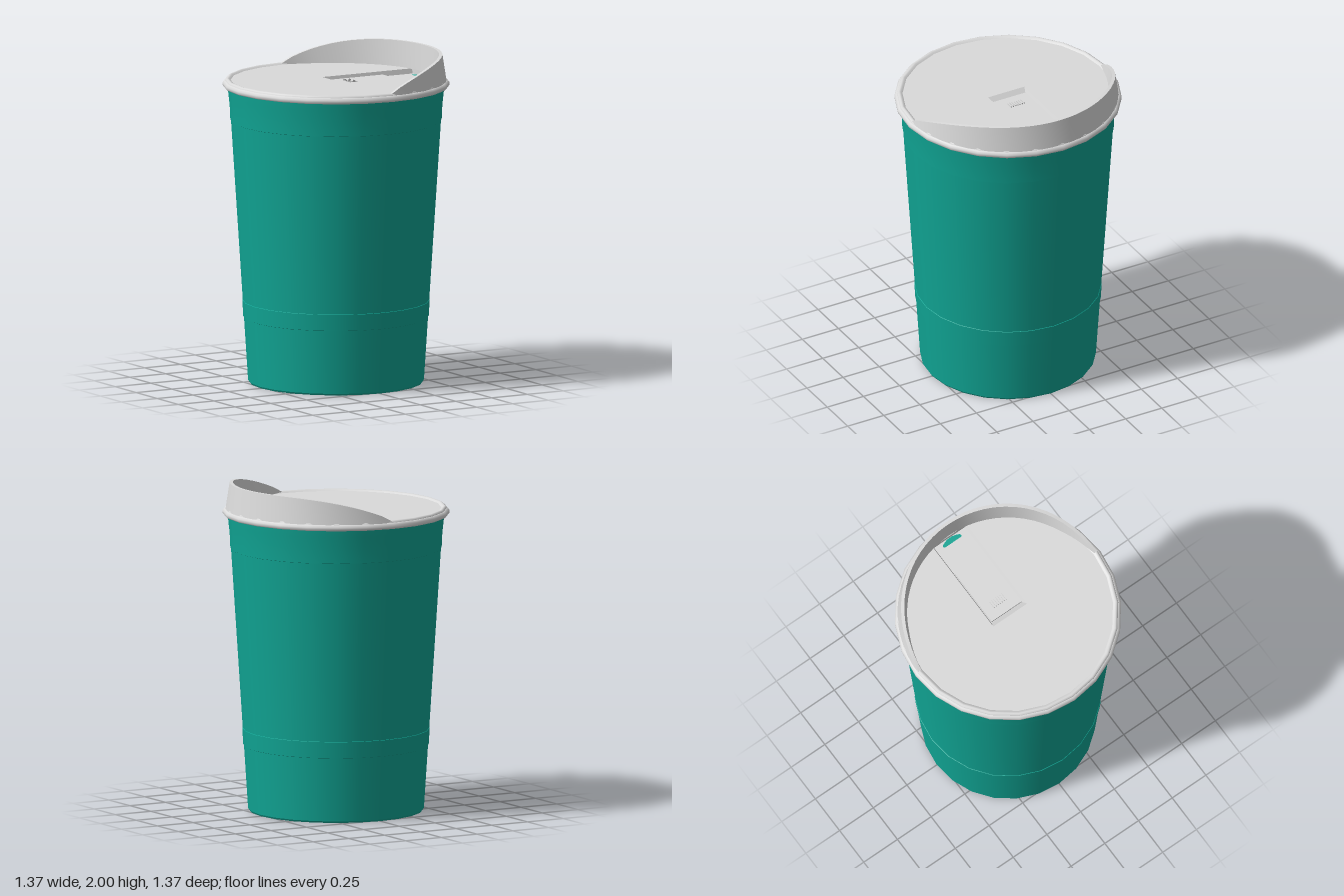
import * as THREE from 'three';
import { mergeGeometries } from 'three/addons/utils/BufferGeometryUtils.js';

const SIDES = 24;

// Smooth ring section; separate sections keep the edges between them crisp
const ring = (pts) => new THREE.LatheGeometry(pts.map(([r, y]) => new THREE.Vector2(r, y)), SIDES);

// Smooth strip between two rows of points
function strip(a, b) {
  const pos = [], idx = [];
  a.forEach((p, i) => {
    pos.push(...p, ...b[i]);
    if (i) {
      const k = 2 * i;
      idx.push(k - 2, k - 1, k, k, k - 1, k + 1);
    }
  });
  const g = new THREE.BufferGeometry();
  g.setAttribute('position', new THREE.Float32BufferAttribute(pos, 3));
  g.setIndex(idx);
  g.computeVertexNormals();
  return g;
}

export function createModel() {
  const model = new THREE.Group();
  const teal = new THREE.MeshStandardMaterial({ color: 0x10a594 });
  const lidGrey = new THREE.MeshStandardMaterial({ color: 0xdadada, side: THREE.DoubleSide });
  teal.name = 'cupTeal';
  lidGrey.name = 'lidGrey';

  const add = (name, geo, mat, parent = model) => {
    const m = new THREE.Mesh(geo, mat);
    m.name = name;
    parent.add(m);
    return m;
  };

  // Cup: recessed base, foot ring, tapered wall with a slightly raised band
  const cup = new THREE.Group();
  cup.name = 'cup';
  model.add(cup);
  add('cupBase', ring([[0, 0.03], [0.49, 0.03]]), teal, cup);
  add('footInside', ring([[0.49, 0.03], [0.502, 0]]), teal, cup);
  add('footRing', ring([[0.502, 0], [0.524, 0]]), teal, cup);
  add('footEdge', ring([[0.524, 0], [0.53, 0.01]]), teal, cup);
  add('lowerWall', ring([[0.53, 0.01], [0.555, 0.398]]), teal, cup);
  add('bandBottomStep', ring([[0.555, 0.398], [0.559, 0.4]]), teal, cup);
  add('raisedBand', ring([[0.559, 0.4], [0.565, 0.498]]), teal, cup);
  add('bandTopStep', ring([[0.565, 0.498], [0.562, 0.5]]), teal, cup);
  add('middleWall', ring([[0.562, 0.5], [0.633, 1.598]]), teal, cup);
  add('collarStep', ring([[0.633, 1.598], [0.637, 1.6]]), teal, cup);
  add('collar', ring([[0.637, 1.6], [0.641, 1.69], [0.649, 1.76], [0.654, 1.83]]), teal, cup);

  // Lid rim: snap bead with a rounded shoulder falling to the top surface
  const lid = new THREE.Group();
  lid.name = 'lid';
  model.add(lid);
  add('rimUnderside', ring([[0.64, 1.806], [0.678, 1.804]]), lidGrey, lid);
  add('rimBead', ring([[0.678, 1.804], [0.685, 1.812], [0.685, 1.826], [0.676, 1.838], [0.668, 1.84]]), lidGrey, lid);
  add('rimShoulder', ring([[0.668, 1.84], [0.665, 1.848], [0.656, 1.853], [0.646, 1.85], [0.636, 1.842]]), lidGrey, lid);

  // Lid top with the opening for the slider channel
  const TOP = 1.842, FLOOR = 1.812;
  const x0 = -0.022, x1 = 0.604, zTop = 0.125, zFloor = 0.115, xFloor = 0.012;
  const disc = new THREE.Shape();
  for (let i = 0; i < SIDES; i++) {
    const a = (i / SIDES) * Math.PI * 2, x = 0.637 * Math.cos(a), y = 0.637 * Math.sin(a);
    i ? disc.lineTo(x, y) : disc.moveTo(x, y);
  }
  disc.closePath();
  disc.holes.push(new THREE.Path([[x0, -zTop], [x0, zTop], [x1, zTop], [x1, -zTop]]
    .map(([x, y]) => new THREE.Vector2(x, y))));
  add('lidTop', new THREE.ShapeGeometry(disc).rotateX(-Math.PI / 2).translate(0, TOP, 0), lidGrey, lid);

  // Channel: sloping walls around a flat floor
  const upper = [[x0, TOP, -zTop], [x1, TOP, -zTop], [x1, TOP, zTop], [x0, TOP, zTop]];
  const lower = [[xFloor, FLOOR, -zFloor], [x1, FLOOR, -zFloor], [x1, FLOOR, zFloor], [xFloor, FLOOR, zFloor]];
  const walls = upper.map((p, i) => {
    const j = (i + 1) % 4;
    return strip([p, upper[j]], [lower[i], lower[j]]);
  });
  add('channelWalls', mergeGeometries(walls), lidGrey, lid);
  add('channelFloor', strip([lower[0], lower[1]], [lower[3], lower[2]]), lidGrey, lid);

  // Slider with a row of small grip ribs
  add('slider', new THREE.BoxGeometry(0.378, 0.012, 0.222), lidGrey, lid).position.set(0.203, FLOOR + 0.006, 0);
  for (let i = 0; i < 7; i++) {
    add('gripRib', new THREE.BoxGeometry(0.045, 0.008, 0.007), lidGrey, lid)
      .position.set(0.1, FLOOR + 0.016, (i - 3) * 0.015);
  }

  // Drinking hole: thin D-shaped plate showing the cup colour
  const hole = new THREE.Shape();
  hole.moveTo(0.566, -0.06);
  hole.quadraticCurveTo(0.572, -0.072, 0.585, -0.062);
  hole.quadraticCurveTo(0.618, 0, 0.585, 0.062);
  hole.quadraticCurveTo(0.572, 0.072, 0.566, 0.06);
  hole.closePath();
  add('drinkingHole', new THREE.ShapeGeometry(hole).rotateX(-Math.PI / 2).translate(0, FLOOR + 0.003, 0), teal, lid);

  // Raised lip: half ring on the +x side whose height grows towards the drinking hole
  const rows = [[], [], [], []];
  const steps = 32;
  for (let i = 0; i <= steps; i++) {
    const a = -Math.PI / 2 + (i / steps) * Math.PI;
    const c = Math.max(0, Math.cos(a));
    const rise = Math.pow(Math.sin((c * Math.PI) / 2), 0.8);
    const y = 1.85 + 0.15 * rise;
    const at = (r, h) => [r * Math.cos(a), h, r * Math.sin(a)];
    rows[0].push(at(0.666, 1.838));
    rows[1].push(at(0.663 - 0.022 * rise, y));
    rows[2].push(at(0.643 - 0.022 * rise, y));
    rows[3].push(at(0.642 - 0.034 * Math.min(1, rise * 1.5), 1.84));
  }
  const lip = [0, 1, 2].map((i) => strip(rows[i + 1], rows[i]).toNonIndexed());
  // Rows run from -z to +z, so turn the faces outward
  lip.forEach((g) => {
    const p = g.attributes.position, n = g.attributes.normal;
    const v = new THREE.Vector3(), nn = new THREE.Vector3();
    const e1 = new THREE.Vector3(), e2 = new THREE.Vector3();
    for (let t = 0; t < p.count; t += 3) {
      v.fromBufferAttribute(p, t);
      e1.fromBufferAttribute(p, t + 1).sub(v);
      e2.fromBufferAttribute(p, t + 2).sub(v);
      nn.fromBufferAttribute(n, t);
      if (e1.cross(e2).dot(nn) < 0) for (let k = 0; k < 3; k++) n.setXYZ(t + k, -n.getX(t + k), -n.getY(t + k), -n.getZ(t + k));
    }
  });
  add('raisedLip', mergeGeometries(lip), lidGrey, lid);

  return model;
}
